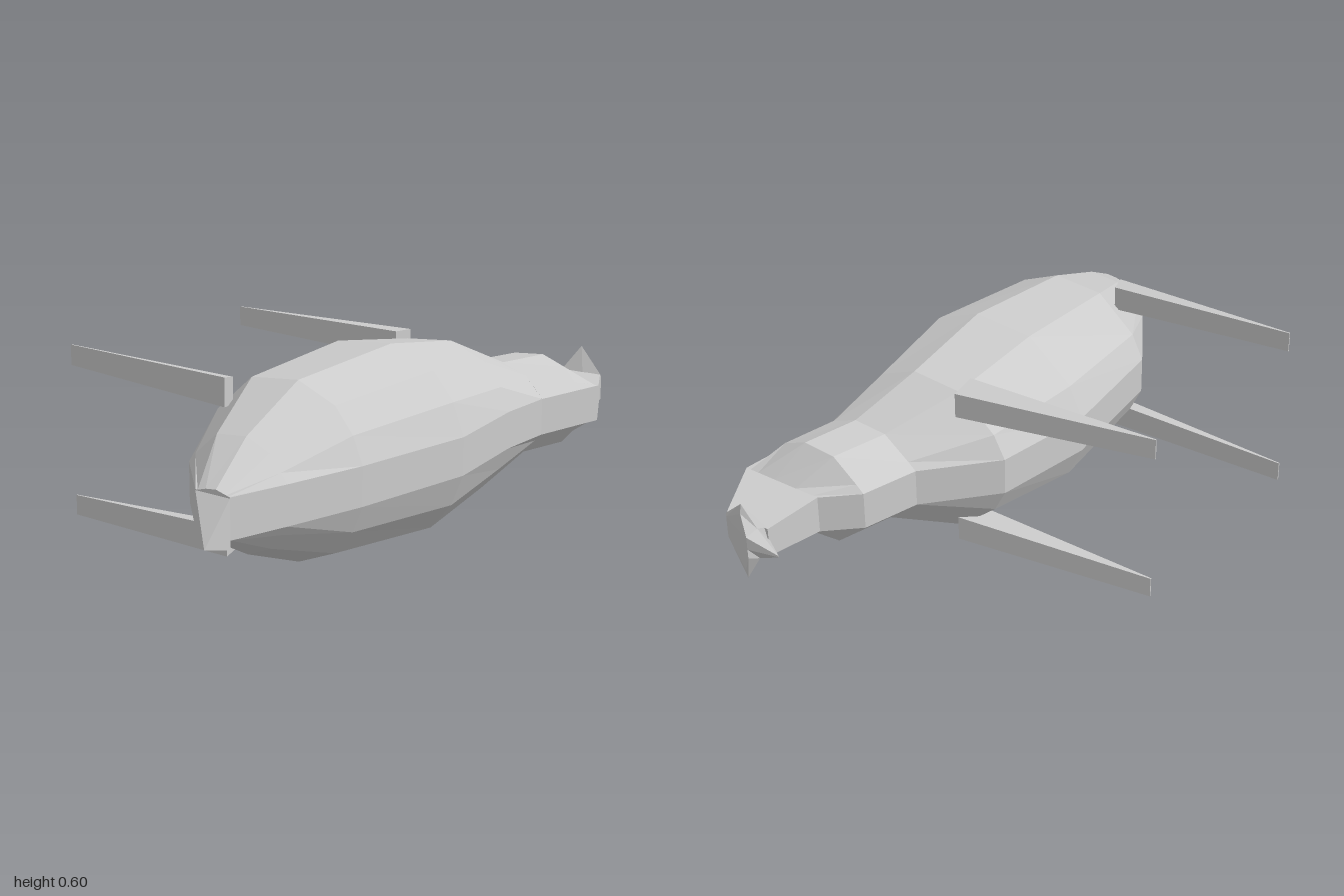
import * as THREE from 'three';

const MID = 0.295; // height of the mirror plane: the animal lies on its side

// Skin closed rings of points together, with caps on both ends
function loft(name, rings, side = THREE.FrontSide) {
  const n = rings[0].length, pos = rings.flat(2), idx = [];
  for (let i = 0; i < rings.length - 1; i++) {
    for (let j = 0; j < n; j++) {
      const a = i * n + j, b = i * n + (j + 1) % n;
      idx.push(a, a + n, b, b, a + n, b + n);
    }
  }
  const last = (rings.length - 1) * n;
  for (let j = 1; j < n - 1; j++) {
    idx.push(0, j, j + 1, last, last + j + 1, last + j);
  }
  const indexed = new THREE.BufferGeometry();
  indexed.setAttribute('position', new THREE.Float32BufferAttribute(pos, 3));
  indexed.setIndex(idx);
  const geo = indexed.toNonIndexed();
  geo.computeVertexNormals();
  const mesh = new THREE.Mesh(geo,
    new THREE.MeshStandardMaterial({ color: 0xcccccc, flatShading: true, side }));
  mesh.name = name;
  return mesh;
}

// Complete a half ring by mirroring it across the middle plane
const mirrorRing = half => [...half, ...half.slice().reverse().map(([x, y, z]) => [x, 2 * MID - y, z])];

// Half outline of the trunk: [share of half width, share of depth from the spine]
const PROFILE = [[0.19, 0], [0.52, 0.06], [0.8, 0.17], [1, 0.4], [0.94, 0.7], [0.52, 0.93], [0.19, 1]];

function section([x, zBack, zBelly, h]) {
  const flat = Math.min(h, 0.058); // flat strip along spine and belly
  return mirrorRing(PROFILE.map(([w, t]) =>
    [x, MID + Math.max(w * h, flat), zBack + (zBelly - zBack) * t]));
}

export function createModel() {
  const group = new THREE.Group();
  group.name = 'lyingAnimal';

  // Trunk sections: x, spine z, belly z, half width
  group.add(loft('body', [
    [-0.9, 0.41, 0.29, 0.07],
    [-0.72, 0.45, 0.1, 0.165],
    [-0.46, 0.5, -0.065, 0.265],
    [-0.04, 0.545, -0.115, 0.298],
    [0.29, 0.487, -0.065, 0.25],
    [0.49, 0.48, 0.11, 0.155],
  ].map(section)));

  // Head narrowing to a square snout
  group.add(loft('head', [
    [0.49, 0.48, 0.11, 0.155],
    [0.67, 0.51, 0.155, 0.155],
    [0.76, 0.525, 0.25, 0.058],
    [0.945, 0.425, 0.27, 0.045],
  ].map(section)));

  // Flared nose plate with three points
  group.add(loft('nose', [
    mirrorRing([[0.94, 0.338, 0.425], [0.94, 0.34, 0.36], [0.94, 0.34, 0.28], [0.94, 0.3, 0.27]]),
    mirrorRing([[0.948, 0.335, 0.428], [0.98, 0.42, 0.33], [0.965, 0.345, 0.29], [0.98, 0.297, 0.2]]),
    mirrorRing([[0.955, 0.33, 0.42], [0.985, 0.39, 0.33], [1, 0.33, 0.3], [1, 0.3, 0.3]]),
  ]));

  // Pointed tail
  const tip = [-1, 0.237, 0.41];
  group.add(loft('tail', [
    [tip, tip, tip, tip],
    [[-0.9, 0.35, 0.41], [-0.9, 0.35, 0.29], [-0.9, 0.21, 0.29], [-0.9, 0.21, 0.41]],
  ]));

  // Flat wedge legs: root x range and tip x, mirrored to both sides
  for (const [name, xa, xb, xt] of [['frontLeg', 0.245, 0.335, 0.23], ['hindLeg', -0.56, -0.513, -0.54]]) {
    for (const s of [1, -1]) {
      const y = v => MID + s * (v - MID);
      group.add(loft(name + (s > 0 ? 'Upper' : 'Lower'), [
        [[xa, y(0.558), 0.09], [xb, y(0.55), 0.08], [xb, y(0.472), 0.08], [xa, y(0.472), 0.09]],
        [[xt - 0.002, y(0.563), -0.545], [xt + 0.002, y(0.563), -0.545],
          [xt + 0.002, y(0.5), -0.545], [xt - 0.002, y(0.5), -0.545]],
      ], THREE.DoubleSide));
    }
  }
  return group;
}
